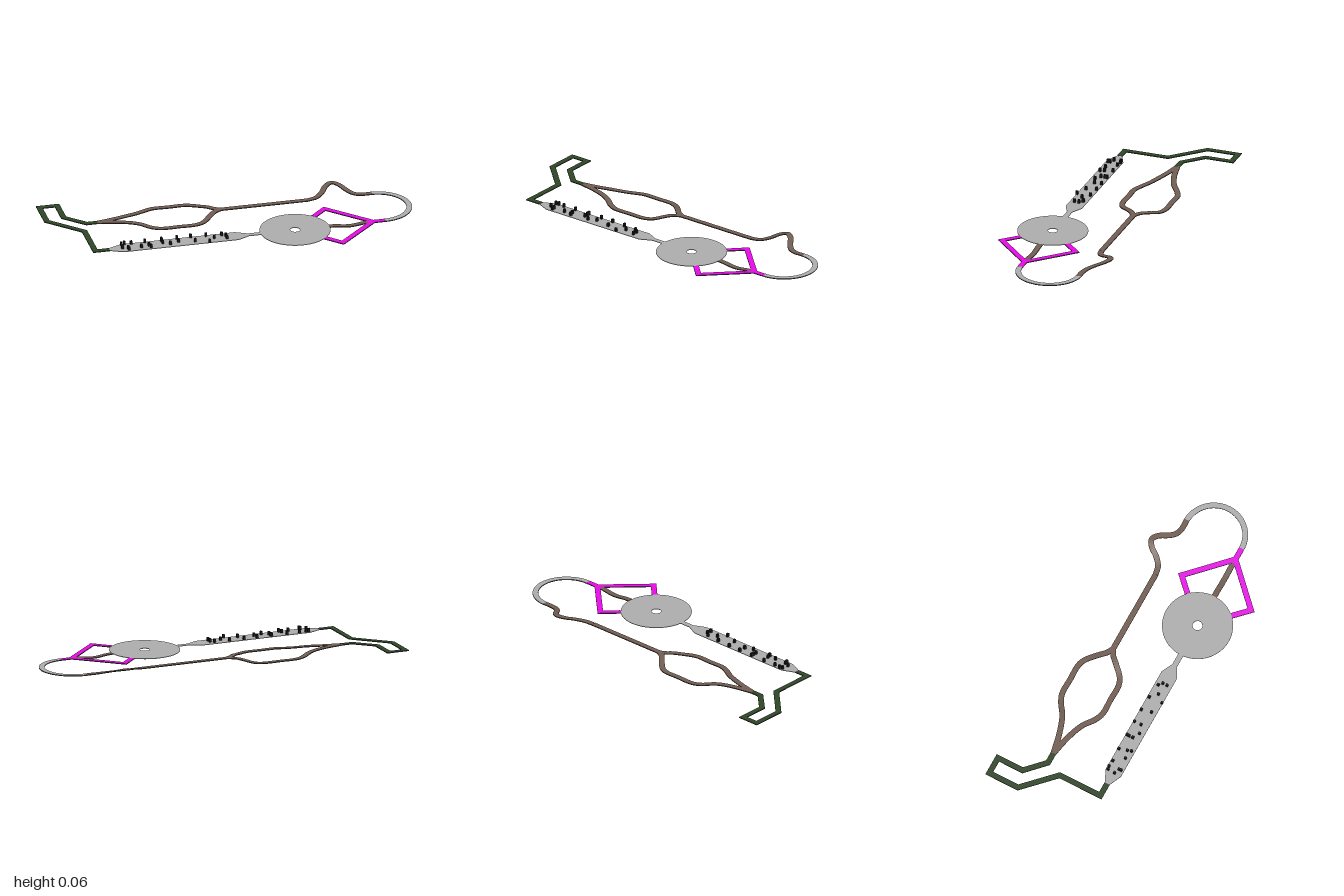
import * as THREE from 'three';

const BASE = 0.0195;  // mid height of the road slab
const THICK = 0.005;
const WIDTH = 0.031;

const mat = (name, color) => {
  const m = new THREE.MeshStandardMaterial({ color });
  m.name = name;
  return m;
};

// Rectangular road slab with mitred corners along [x, z] points; height(x, z) lifts the centre line.
// Group 0 is the top and bottom, group 1 the edges.
function road(points, height = () => BASE) {
  const n = points.length, pos = [], faces = [], edges = [];
  const dir = (i) => {
    const [a, b] = [points[i], points[i + 1]];
    return new THREE.Vector2(b[0] - a[0], b[1] - a[1]).normalize();
  };
  points.forEach(([x, z], i) => {
    const d0 = dir(Math.max(i - 1, 0)), d1 = dir(Math.min(i, n - 2));
    const t = d0.clone().add(d1).normalize();
    const half = WIDTH / 2 / t.dot(d1);
    const y = height(x, z);
    for (const [side, up] of [[-1, 1], [1, 1], [1, -1], [-1, -1]]) {
      pos.push(x - t.y * side * half, y + up * THICK / 2, z + t.x * side * half);
    }
  });
  for (let i = 0; i < n - 1; i++) {
    for (let k = 0; k < 4; k++) {
      const a = i * 4 + k, b = i * 4 + (k + 1) % 4;
      (k % 2 ? edges : faces).push(a, b, b + 4, a, b + 4, a + 4);
    }
  }
  const e = (n - 1) * 4;
  edges.push(0, 3, 2, 0, 2, 1, e, e + 1, e + 2, e, e + 2, e + 3);
  const g = new THREE.BufferGeometry();
  g.setAttribute('position', new THREE.Float32BufferAttribute(pos, 3));
  g.setIndex([...faces, ...edges]);
  const flat = g.toNonIndexed();
  flat.addGroup(0, faces.length, 0);
  flat.addGroup(faces.length, edges.length, 1);
  flat.computeVertexNormals();
  return flat;
}

// Smooth [x, z] points through a few controls
const smooth = (pts, count) =>
  new THREE.CatmullRomCurve3(pts.map(([x, z]) => new THREE.Vector3(x, 0, z)))
    .getPoints(count).map((p) => [p.x, p.z]);

// Thin flat slab from a shape drawn in x and -z
function slab(shape) {
  const depth = 0.003;
  const g = new THREE.ExtrudeGeometry(shape, { depth, bevelEnabled: false, curveSegments: 32 });
  g.rotateX(-Math.PI / 2);
  g.translate(0, BASE - depth / 2, 0);
  return g;
}

export function createModel() {
  const model = new THREE.Group();
  model.name = 'raceTrack';
  const green = mat('dark green', 0x2f4626);
  const brown = mat('brown', 0x715d52);
  const grey = mat('grey', 0xadadad);
  const magenta = mat('magenta', 0xe60ae6);
  const black = mat('black', 0x161616);
  const edge = mat('dark edge', 0x3a3a3a);
  const add = (name, geometry, material) => {
    const mesh = new THREE.Mesh(geometry, material);
    mesh.name = name;
    model.add(mesh);
    return mesh;
  };
  const addRoad = (name, points, material, height) => add(name, road(points, height), [material, edge]);

  const backZ = -0.157, frontZ = 0.185;

  // Angular section at the far end
  addRoad('angularSection', [
    [-0.71, backZ], [-0.78, backZ], [-0.885, -0.258], [-0.885, -0.411], [-0.985, -0.411],
    [-0.985, -0.234], [-0.814, -0.066], [-0.814, frontZ], [-0.735, frontZ],
  ], green);

  // Split section: two mirrored branches that sink away from the middle
  const sink = (x, z) =>
    BASE - 0.0155 * THREE.MathUtils.smoothstep(Math.abs(z - backZ), 0.03, 0.12);
  for (const side of [-1, 1]) {
    const branch = [
      [-0.72, 0], [-0.6, 0.026], [-0.5, 0.062], [-0.435, 0.105], [-0.385, 0.125], [-0.29, 0.125],
      [-0.2, 0.125], [-0.155, 0.108], [-0.1, 0.056], [-0.065, 0.02], [-0.03, 0],
    ].map(([x, d]) => [x, backZ + side * d]);
    addRoad(side < 0 ? 'backBranch' : 'frontBranch', smooth(branch, 50), brown, sink);
  }

  // Back straight, then a raised swerve
  addRoad('backStraight', [[-0.035, backZ], [0.46, backZ]], brown);
  const rise = (x, z) => BASE + 0.32 * Math.max(0, backZ - z);
  addRoad('raisedSwerve', smooth([
    [0.46, backZ], [0.51, -0.169], [0.55, -0.202], [0.583, -0.247], [0.619, -0.267],
    [0.655, -0.247], [0.692, -0.197], [0.722, -0.169], [0.76, backZ], [0.82, backZ],
  ], 50), brown, rise);

  // Half-round end curve
  const r = (frontZ - backZ) / 2, arc = [];
  for (let i = 0; i <= 32; i++) {
    const a = -Math.PI / 2 + Math.PI * i / 32;
    arc.push([0.814 + r * Math.cos(a), backZ + r + r * Math.sin(a)]);
  }
  addRoad('endCurve', arc, grey);

  // Diamond junction with a dipping middle lane
  addRoad('junctionStub', [[0.814, frontZ], [0.73, frontZ]], magenta);
  for (const side of [-1, 1]) {
    addRoad(side < 0 ? 'backDiamondArm' : 'frontDiamondArm', [
      [0.744, frontZ], [0.524, frontZ + side * 0.215], [0.445, frontZ + side * 0.136],
    ], magenta);
  }
  const lane = [];
  for (let i = 0; i <= 16; i++) lane.push([0.73 - 0.231 * i / 16, frontZ]);
  const dip = (x) => BASE - 0.01 * Math.sin(Math.PI * THREE.MathUtils.clamp((0.72 - x) / 0.21, 0, 1)) ** 2;
  addRoad('middleLane', lane, brown, dip);

  // Round plaza with a centre hole
  const disc = new THREE.Shape().absarc(0.307, -frontZ, 0.194, 0, Math.PI * 2);
  disc.holes.push(new THREE.Path().absarc(0.307, -frontZ, 0.027, 0, Math.PI * 2, true));
  add('roundPlaza', slab(disc), grey);

  // Wide straight, tapered at both ends
  const outline = [[-0.735, 0.015], [-0.665, 0.047], [-0.02, 0.047], [0.045, 0.015], [0.116, 0.015]];
  const mirrored = outline.map(([x, d]) => [x, -d]).reverse();
  add('wideStraight', slab(new THREE.Shape([...outline, ...mirrored]
    .map(([x, d]) => new THREE.Vector2(x, d - frontZ)))), grey);

  // Small posts scattered over the wide straight
  const posts = [
    [-0.66, 0.151], [-0.642, 0.146], [-0.633, 0.204], [-0.663, 0.192], [-0.632, 0.216], [-0.605, 0.15],
    [-0.56, 0.204], [-0.528, 0.146], [-0.515, 0.192], [-0.508, 0.214], [-0.435, 0.16], [-0.435, 0.146],
    [-0.435, 0.182], [-0.397, 0.204], [-0.348, 0.186], [-0.348, 0.146], [-0.27, 0.146], [-0.257, 0.202],
    [-0.185, 0.15], [-0.183, 0.228], [-0.147, 0.186], [-0.1, 0.16], [-0.08, 0.178], [-0.08, 0.204],
  ];
  const postGeometry = new THREE.BoxGeometry(0.012, 0.021, 0.013);
  posts.forEach(([x, z]) => add('post', postGeometry, black).position.set(x, 0.0312, z));

  return model;
}
